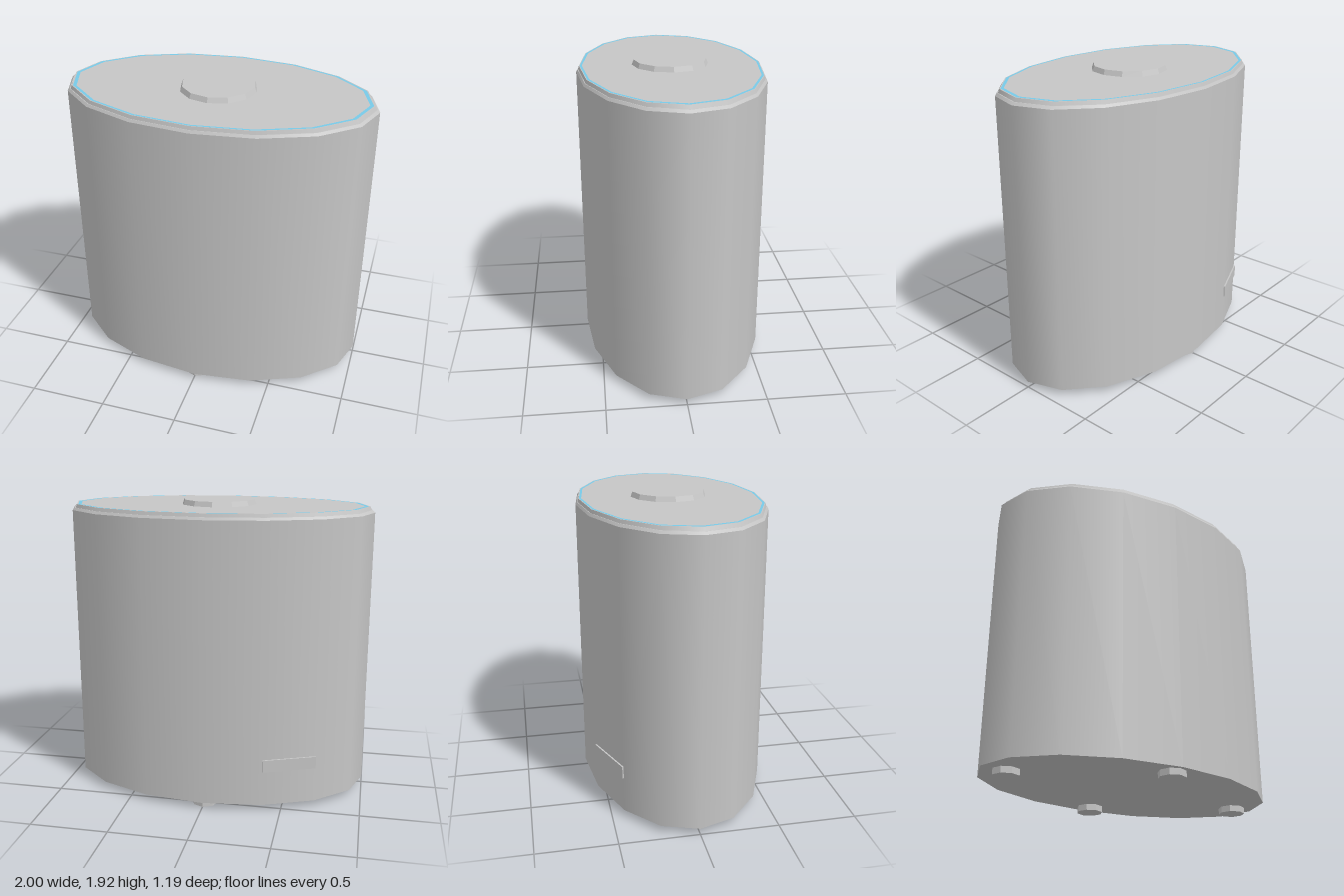
import * as THREE from 'three';

const DEPTH = 0.597; // depth of the oval relative to its width

export function createModel() {
  const model = new THREE.Group();
  const grey = new THREE.MeshStandardMaterial({ color: 0xc6c6c6 });
  grey.name = 'casing grey';
  const blue = new THREE.MeshStandardMaterial({ color: 0x78cbe8 });
  blue.name = 'light blue';

  const add = (name, geometry, material, x = 0, y = 0, z = 0) => {
    const mesh = new THREE.Mesh(geometry, material);
    mesh.name = name;
    mesh.position.set(x, y, z);
    model.add(mesh);
    return mesh;
  };

  // Sixteen-sided oval turned from [radius, height] points; a repeated point makes a sharp edge
  const oval = (points) => new THREE.LatheGeometry(
    points.map(([r, y]) => new THREE.Vector2(r, y)), 16).scale(1, 1, DEPTH);

  // Casing with a softened top edge
  add('body', oval([
    [0, 0.04], [1, 0.04], [1, 0.04], [1, 1.852], [1, 1.852],
    [0.985, 1.868], [0.985, 1.868], [0.968, 1.868],
  ]), grey);

  // Lid, with a glowing band around its rim
  add('lidRim', oval([[0.979, 1.868], [0.969, 1.89], [0.969, 1.89], [0.961, 1.89]]), grey);
  add('lightRing', oval([[0.961, 1.89], [0.938, 1.89]]), blue);
  add('lidTop', oval([[0.938, 1.89], [0, 1.89]]), grey);

  // Round button
  const button = new THREE.CylinderGeometry(0.232, 0.246, 0.035, 12).toNonIndexed();
  button.computeVertexNormals();
  add('button', button, grey, 0, 1.9045, 0);

  // Feet
  const foot = new THREE.CylinderGeometry(0.086, 0.086, 0.042, 8).toNonIndexed();
  foot.computeVertexNormals();
  for (const [x, z] of [[0.838, 0], [-0.838, 0], [0, 0.487], [0, -0.487]]) {
    add('foot', foot, grey, x, 0.021, z);
  }

  // Socket plate lying on one rear facet of the casing
  const corner = (i) => {
    const a = (i * Math.PI) / 8;
    return new THREE.Vector3(-Math.sin(a), 0.31, -Math.cos(a) * DEPTH);
  };
  const a = corner(1), b = corner(2);
  const middle = a.clone().add(b).multiplyScalar(0.5);
  const along = b.clone().sub(a);
  const plate = add('socketPlate', new THREE.BoxGeometry(along.length(), 0.08, 0.02), grey,
    middle.x, middle.y, middle.z);
  plate.rotation.y = Math.atan2(-along.z, along.x);

  return model;
}
